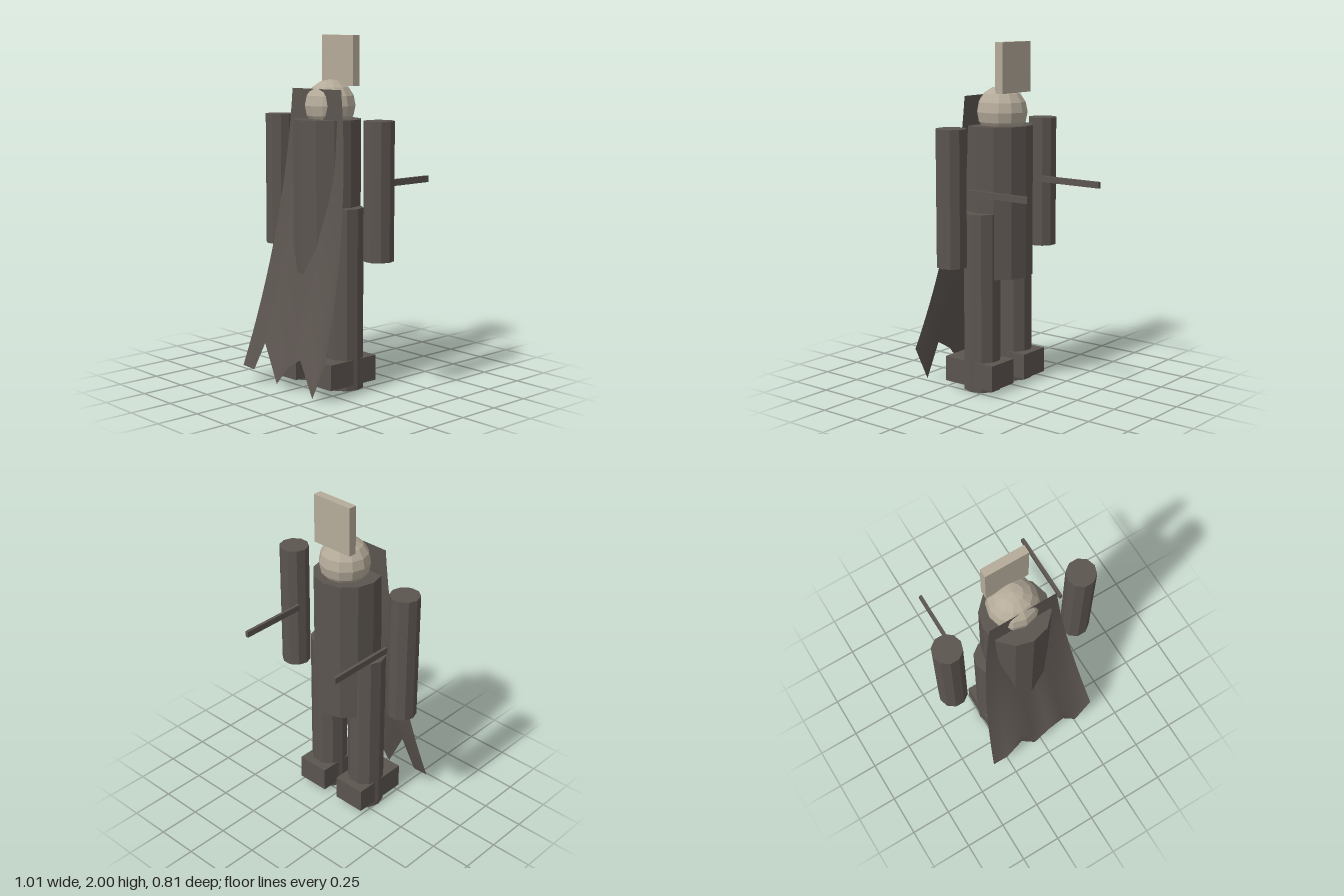
import * as THREE from 'three';

const dark = new THREE.MeshStandardMaterial({ color: 0x5c5550, flatShading: true });
const pale = new THREE.MeshStandardMaterial({ color: 0xb5ab9a, flatShading: true });
const cloth = new THREE.MeshStandardMaterial({ color: 0x5c5550, side: THREE.DoubleSide });

function add(parent, name, geometry, material, x, y, z) {
  const mesh = new THREE.Mesh(geometry, material);
  mesh.name = name;
  mesh.position.set(x, y, z);
  parent.add(mesh);
  return mesh;
}

// Upright ten-sided limb with corners on the x axis
function limb(radius, height) {
  return new THREE.CylinderGeometry(radius, radius, height, 10).rotateY(Math.PI / 2);
}

// Cloak: widens and sweeps forward as it falls, ending in a ragged hem
function cloakGeometry() {
  const hem = [0.085, 0.08, 0.255, 0.035, 0.155, 0.215, 0.015, 0.22];
  const cols = hem.length - 1, rows = 16;
  const geometry = new THREE.PlaneGeometry(1, 1, cols, rows);
  const pos = geometry.attributes.position;
  for (let r = 0; r <= rows; r++) {
    const t = r / rows;
    for (let c = 0; c <= cols; c++) {
      const x = (c / cols * 2 - 1) * (0.205 + 0.151 * t);
      pos.setXYZ(r * (cols + 1) + c, x, 1.7 + (hem[c] - 1.7) * t, 0.145 + 0.26 * t * t);
    }
  }
  geometry.computeVertexNormals();
  return geometry;
}

export function createModel() {
  const model = new THREE.Group();
  model.name = 'cloakedFigure';

  // Body, head and the tall plate behind it
  add(model, 'torso', new THREE.CylinderGeometry(0.197, 0.197, 0.87, 12), dark, 0, 1.095, 0.064);
  add(model, 'head', new THREE.SphereGeometry(0.147, 12, 8), pale, 0, 1.605, 0.04);
  add(model, 'headPlate', new THREE.BoxGeometry(0.26, 0.285, 0.05), pale, 0, 1.8575, -0.04);
  add(model, 'cloak', cloakGeometry(), cloth, 0, 0, 0);

  // Mirrored limbs, feet and rods
  for (const [side, s] of [['left', 1], ['right', -1]]) {
    add(model, side + 'Arm', limb(0.086, 0.77), dark, s * 0.42, 1.155, 0.063);
    add(model, side + 'Rod', new THREE.BoxGeometry(0.018, 0.037, 0.415), dark, s * 0.34, 1.18, -0.198);
    add(model, side + 'Leg', limb(0.108, 1.04), dark, s * 0.15, 0.52, 0.067);
    add(model, side + 'Foot', new THREE.BoxGeometry(0.2, 0.147, 0.347), dark, s * 0.15, 0.104, 0.09);
  }
  return model;
}
